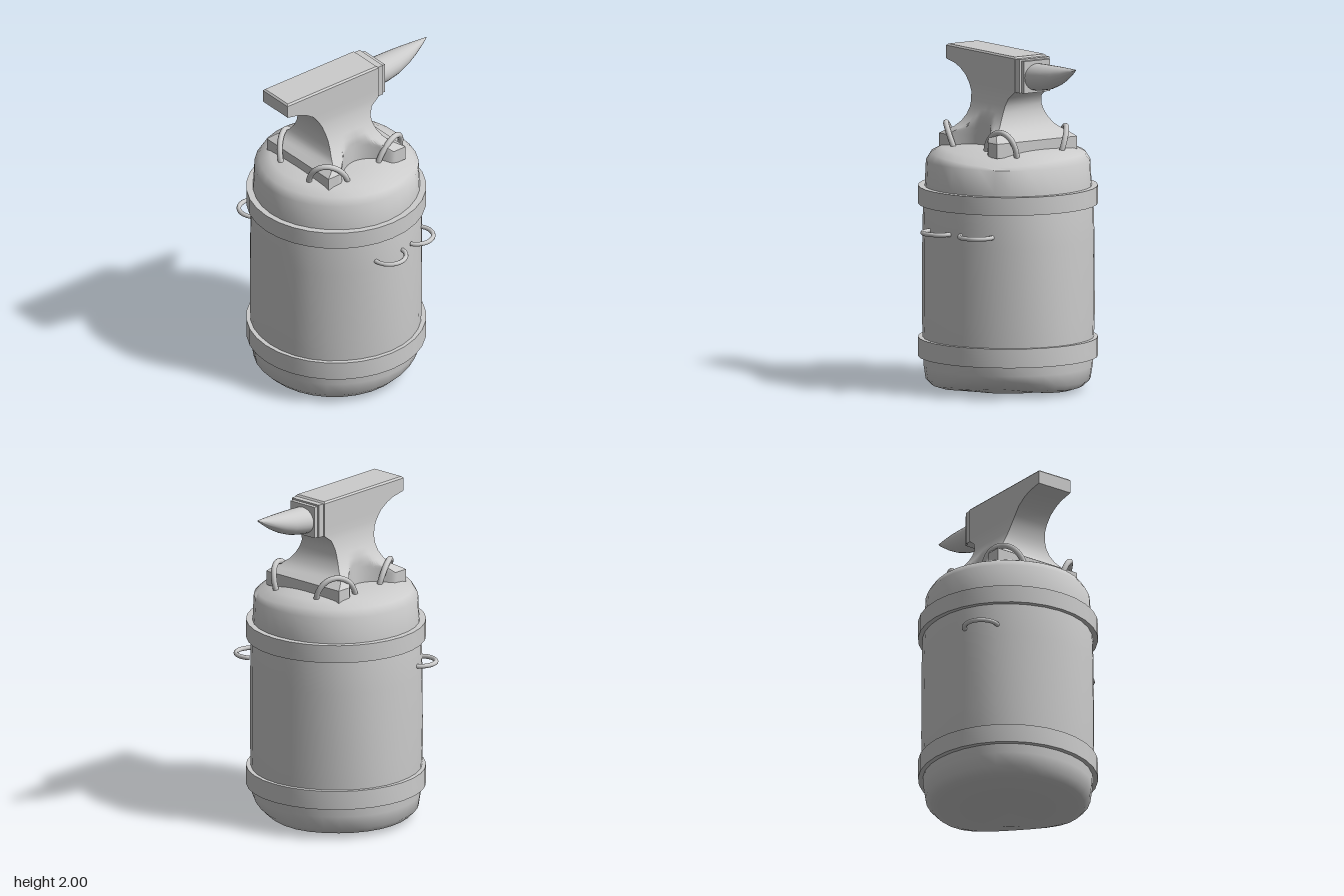
import * as THREE from 'three';
import { toCreasedNormals } from 'three/addons/utils/BufferGeometryUtils.js';

const material = new THREE.MeshStandardMaterial({ color: 0xcccccc });
const V = (x, y, z) => new THREE.Vector3(x, y, z);

function add(parent, name, geometry, x = 0, y = 0, z = 0) {
  const mesh = new THREE.Mesh(geometry, material);
  mesh.name = name;
  mesh.position.set(x, y, z);
  parent.add(mesh);
  return mesh;
}

// Skin a list of equal-length closed rings and cap both ends
function loft(rings, crease) {
  const n = rings[0].length, m = rings.length;
  const points = rings.flat(), index = [];
  for (let j = 0; j < m - 1; j++) {
    for (let i = 0; i < n; i++) {
      const k = (i + 1) % n;
      const a = j * n + i, b = j * n + k, c = b + n, d = a + n;
      index.push(a, b, c, a, c, d);
    }
  }
  for (const j of [0, m - 1]) {
    const centre = V(0, 0, 0);
    rings[j].forEach(p => centre.addScaledVector(p, 1 / n));
    const c = points.push(centre) - 1;
    for (let i = 0; i < n; i++) {
      const a = j * n + i, b = j * n + (i + 1) % n;
      if (j) index.push(c, a, b); else index.push(c, b, a);
    }
  }
  const geometry = new THREE.BufferGeometry().setFromPoints(points);
  geometry.setIndex(index);
  return toCreasedNormals(geometry, crease);
}

function lathe(profile, segments, crease, deform) {
  const geometry = new THREE.LatheGeometry(profile.map(p => new THREE.Vector2(...p)), segments);
  if (deform) {
    const pos = geometry.attributes.position, v = V(0, 0, 0);
    for (let i = 0; i < pos.count; i++) {
      deform(v.fromBufferAttribute(pos, i));
      pos.setXYZ(i, v.x, v.y, v.z);
    }
  }
  return toCreasedNormals(geometry, crease);
}

// Log with rounded ends, dented towards the front left
function stump() {
  const profile = [[0, 0], [0.25, 0.003], [0.4, 0.01], [0.45, 0.025], [0.485, 0.06], [0.497, 0.14], [0.502, 0.25],
    [0.508, 0.45], [0.506, 0.9], [0.5, 1.15], [0.49, 1.22], [0.483, 1.36], [0.455, 1.405], [0.39, 1.438],
    [0.25, 1.453], [0, 1.46]];
  return lathe(profile, 32, 1.0, v => {
    const r = Math.hypot(v.x, v.z), angle = Math.atan2(v.x, v.z);
    const dent = Math.max(0, Math.cos(angle - 0.75)) ** 4;
    const rim = THREE.MathUtils.smoothstep(r, 0.25, 0.46);
    const wobble = 1 + 0.005 * Math.sin(angle * 5 + v.y * 2);
    if (v.y < 0.12) v.y += 0.05 * dent * rim;
    if (v.y > 1.38) v.y -= 0.03 * dent * rim;
    v.x *= wobble;
    v.z *= wobble;
  });
}

// Anvil body: stacked outlines, with arches scooped out of front and back
function anvilBody() {
  const levels = [ // y, left end x, right end x, half depth
    [1.42, -0.29, 0.29, 0.29], [1.505, -0.29, 0.29, 0.29], [1.53, -0.25, 0.25, 0.265],
    [1.55, -0.215, 0.215, 0.235], [1.58, -0.197, 0.187, 0.197], [1.62, -0.183, 0.165, 0.168],
    [1.66, -0.18, 0.154, 0.147], [1.7, -0.186, 0.152, 0.132], [1.75, -0.202, 0.172, 0.12],
    [1.79, -0.225, 0.225, 0.116], [1.84, -0.265, 0.227, 0.116], [1.875, -0.32, 0.227, 0.116],
    [1.895, -0.37, 0.227, 0.116], [1.912, -0.458, 0.227, 0.116], [1.99, -0.46, 0.227, 0.116],
    [2.0, -0.45, 0.217, 0.106]];
  const steps = 32;
  const rings = levels.map(([y, x0, x1, depth]) => {
    const front = [];
    for (let i = 0; i <= steps; i++) {
      const x = THREE.MathUtils.lerp(x0, x1, i / steps);
      front.push(V(x, y, Math.min(depth, 0.165 + 3.46 * x * x)));
    }
    return [...front, ...front.map(p => V(p.x, p.y, -p.z)).reverse()];
  });
  return loft(rings, 0.7);
}

// Horn: oval sections with a level top and an upswept underside
function horn() {
  const sections = [ // x, top y, bottom y, half width
    [0.27, 1.96, 1.8, 0.09], [0.34, 1.964, 1.806, 0.088], [0.42, 1.966, 1.822, 0.08], [0.5, 1.968, 1.852, 0.064],
    [0.57, 1.969, 1.889, 0.043], [0.63, 1.97, 1.929, 0.022], [0.665, 1.97, 1.954, 0.008], [0.68, 1.97, 1.967, 0.001]];
  const rings = sections.map(([x, top, bottom, half]) => {
    const ring = [];
    for (let i = 0; i < 24; i++) {
      const a = i / 24 * Math.PI * 2;
      ring.push(V(x, (top + bottom) / 2 - Math.sin(a) * (top - bottom) / 2, Math.cos(a) * half));
    }
    return ring;
  });
  return loft(rings, 0.8);
}

// Bent iron staple over one foot, from end a to end b, leaning through a bow point
function staple([ax, az], [bx, bz], [mx, mz]) {
  const midX = (ax + bx) / 2, midZ = (az + bz) / 2, points = [];
  for (let i = 0; i <= 12; i++) {
    const t = i / 12 * Math.PI, u = (1 - Math.cos(t)) / 2, s = Math.sin(t);
    points.push(V(ax + (bx - ax) * u + (mx - midX) * s, 1.42 + 0.145 * s, az + (bz - az) * u + (mz - midZ) * s));
  }
  return new THREE.TubeGeometry(new THREE.CatmullRomCurve3(points), 24, 0.017, 10);
}

export function createModel() {
  const model = new THREE.Group();
  model.name = 'anvilOnStump';
  const axis = new THREE.Group();
  axis.name = 'stumpAndAnvil';
  axis.position.set(-0.08, 0, -0.035);
  model.add(axis);

  add(axis, 'stump', stump());

  // Iron hoops
  for (const [name, y, h] of [['lowerBand', 0.195, 0.113], ['upperBand', 1.1, 0.107]]) {
    add(axis, name, lathe([[0.48, 0], [0.529, 0], [0.529, h], [0.48, h]], 32, 0.6), 0, y, 0);
  }

  // Tool rings on the stump side
  for (const [x, z] of [[0, 0.495], [0.265, 0.42], [-0.28, -0.405]]) {
    const ring = add(axis, 'toolRing', new THREE.TorusGeometry(0.1, 0.0135, 10, 24, Math.PI), x, 0.965, z);
    ring.rotation.set(Math.PI / 2, Math.atan2(x, z), 0, 'YXZ');
  }

  // Anvil
  const anvil = new THREE.Group();
  anvil.name = 'anvil';
  axis.add(anvil);
  add(anvil, 'anvilBody', anvilBody());
  add(anvil, 'stepPlate', new THREE.BoxGeometry(0.05, 0.2, 0.218), 0.24, 1.89, 0);
  add(anvil, 'hornCollar', new THREE.BoxGeometry(0.04, 0.19, 0.19), 0.27, 1.885, 0);
  add(anvil, 'horn', horn());

  // Staples holding the four feet
  const staples = [
    [[-0.32, 0.145], [-0.14, 0.285], [-0.275, 0.25]],
    [[-0.32, -0.115], [-0.1, -0.245], [-0.22, -0.22]],
    [[0.115, -0.26], [0.33, -0.145], [0.255, -0.235]],
    [[0.115, 0.24], [0.33, 0.175], [0.25, 0.235]]];
  for (const [a, b, bow] of staples) add(axis, 'footStaple', staple(a, b, bow));

  return model;
}
